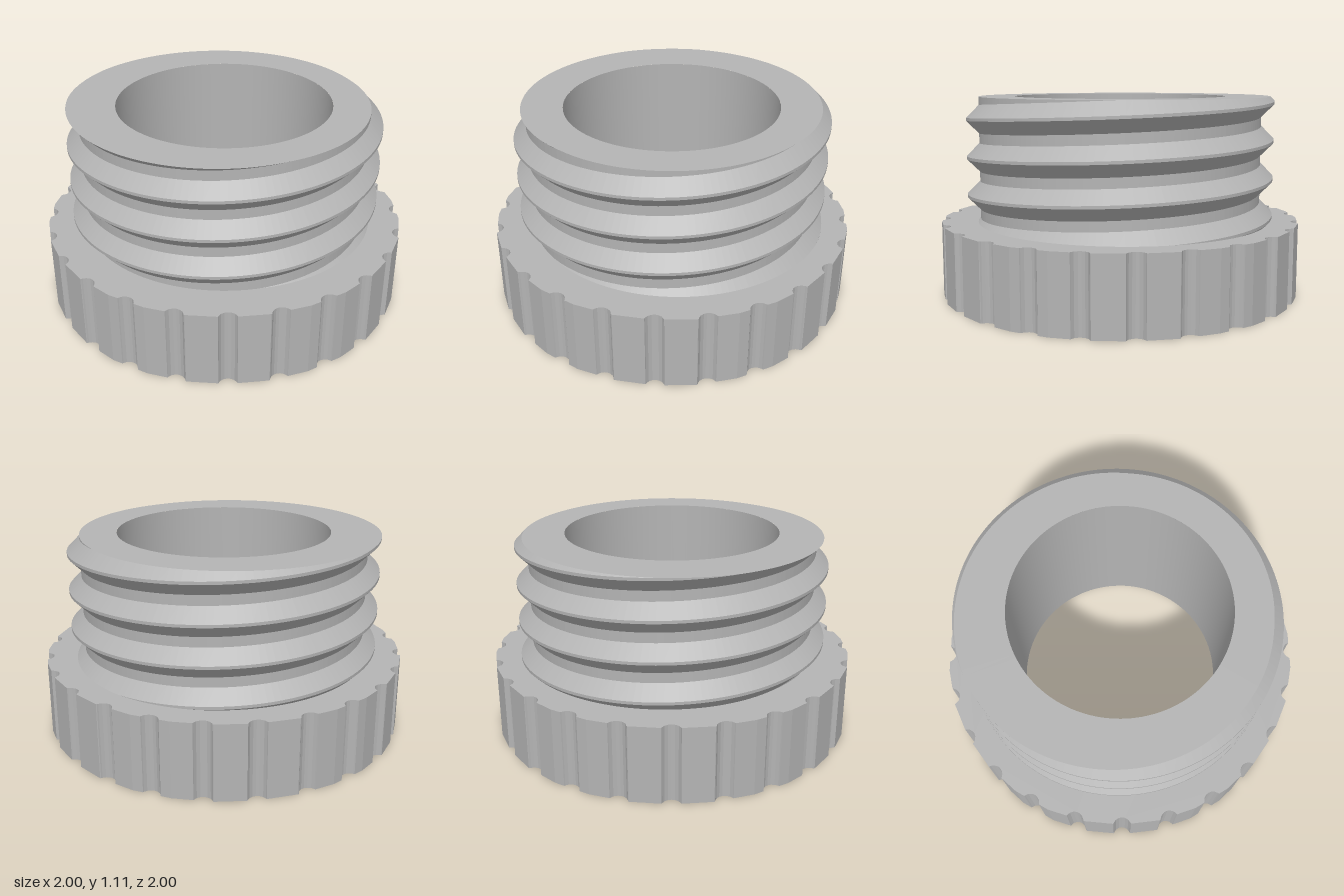
import * as THREE from 'three';

const BASE_H = 0.415, TOP = 1.105, BORE = 0.588, BORE_MOUTH = 0.65;
const CREST = 0.86, ROOT = 0.79, PITCH = 0.21, CREST_FLAT = 0.008, FLANK = 0.07;
const rad = THREE.MathUtils.degToRad;

// Grip outline: a 30-sided disc with 24 round notches
function gripRadius(deg) {
  const local = ((deg % 12) + 12) % 12 - 6;
  const side = 1.005 * Math.cos(rad(6)) / Math.cos(rad(local));
  const off = rad(deg - Math.round(deg / 15) * 15);
  const c = 1.015, n = 0.05, s = c * Math.sin(off);
  if (Math.abs(s) >= n) return side;
  return Math.min(side, c * Math.cos(off) - Math.sqrt(n * n - s * s));
}

function gripGeometry() {
  const angles = [];
  for (let i = 0; i < 24; i++) {
    for (const d of [-2.75, -2.6, -2, -1, 0, 1, 2, 2.6, 2.75]) angles.push(i * 15 + d);
  }
  for (let i = 0; i < 30; i++) if (i % 5) angles.push(i * 12);
  angles.sort((a, b) => a - b);
  const shape = new THREE.Shape(angles.map((d) => {
    const r = gripRadius(d);
    return new THREE.Vector2(r * Math.cos(rad(d)), r * Math.sin(rad(d)));
  }));
  shape.holes.push(new THREE.Path().absarc(0, 0, BORE_MOUTH, 0, Math.PI * 2, true));
  const geo = new THREE.ExtrudeGeometry(shape, { depth: BASE_H, bevelEnabled: false, curveSegments: 96 });
  return geo.rotateX(-Math.PI / 2);
}

// Helical thread: rows follow the corners of the profile and are cut at both ends
function threadGeometry() {
  const seg = 144, pos = [], idx = [];
  const crestAt = (a) => 1.03 + PITCH * a / (Math.PI * 2);
  const radiusAt = (y, a) => {
    const t = (y - crestAt(a)) / PITCH;
    const dist = Math.abs(t - Math.round(t)) * PITCH;
    const k = THREE.MathUtils.clamp((dist - CREST_FLAT) / FLANK, 0, 1);
    return CREST + (ROOT - CREST) * k;
  };
  const offsets = [];
  for (let k = -5; k <= 1; k++) {
    for (const o of [-CREST_FLAT - FLANK, -CREST_FLAT, CREST_FLAT, CREST_FLAT + FLANK]) offsets.push(k * PITCH + o);
  }
  const rows = offsets.length + 1;
  for (let i = 0; i <= seg; i++) {
    const a = i / seg * Math.PI * 2;
    const put = (r, y) => pos.push(r * Math.cos(a), y, -r * Math.sin(a));
    for (const o of offsets) {
      const y = THREE.MathUtils.clamp(crestAt(a) + o, BASE_H, TOP);
      put(radiusAt(y, a), y);
    }
    put(BORE, TOP); // flat end face
  }
  for (let i = 0; i < seg; i++) {
    for (let j = 0; j < rows - 1; j++) {
      const p = i * rows + j, q = p + rows;
      idx.push(p, q, q + 1, p, q + 1, p + 1);
    }
  }
  const geo = new THREE.BufferGeometry();
  geo.setAttribute('position', new THREE.Float32BufferAttribute(pos, 3));
  geo.setIndex(idx);
  const flat = geo.toNonIndexed();
  flat.computeVertexNormals();
  return flat;
}

export function createModel() {
  const group = new THREE.Group();
  group.name = 'threadedCollar';
  const grey = new THREE.MeshStandardMaterial({ color: 0xb4b4b4 });
  grey.name = 'grey';
  const add = (name, geo) => {
    const mesh = new THREE.Mesh(geo, grey);
    mesh.name = name;
    group.add(mesh);
  };
  // Inward-facing wall, listed from top to bottom
  const wall = (r1, y1, r2, y2) =>
    new THREE.LatheGeometry([new THREE.Vector2(r1, y1), new THREE.Vector2(r2, y2)], 96);

  add('notchedGrip', gripGeometry());
  add('thread', threadGeometry());
  add('bore', wall(BORE, TOP, BORE, 0.06));
  add('boreChamfer', wall(BORE, 0.06, BORE_MOUTH, 0));
  return group;
}
